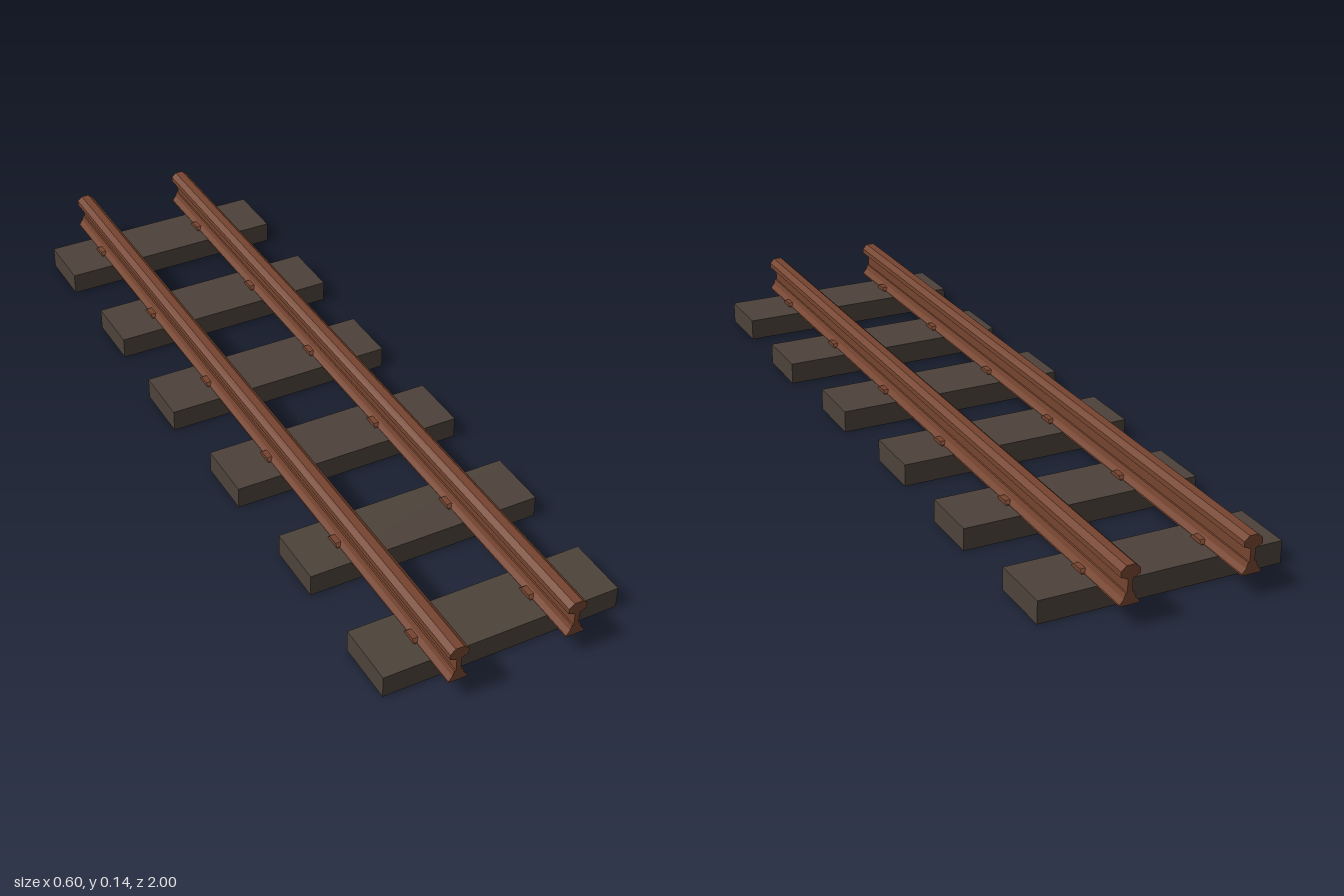
import * as THREE from 'three';

const wood = new THREE.MeshStandardMaterial({ color: 0x4c423a });
wood.name = 'dark weathered wood';
const rust = new THREE.MeshStandardMaterial({ color: 0x75442f });
rust.name = 'rusty steel';

const RAIL_X = [-0.156, 0.131];

// Extrude a mirrored half-profile (bottom to top) along z, centred
function extrudeSymmetric(half, depth) {
  const mirrored = half.map(([x, y]) => [-x, y]).reverse();
  const shape = new THREE.Shape([...half, ...mirrored].map(([x, y]) => new THREE.Vector2(x, y)));
  const geometry = new THREE.ExtrudeGeometry(shape, { depth, bevelEnabled: false });
  return geometry.translate(0, 0, -depth / 2);
}

export function createModel() {
  const model = new THREE.Group();
  model.name = 'railwayTrack';

  function add(name, geometry, material, x, y, z) {
    const mesh = new THREE.Mesh(geometry, material);
    mesh.name = name;
    mesh.position.set(x, y, z);
    model.add(mesh);
  }

  // Rails: flared foot, thin web, chamfered head
  const railGeometry = extrudeSymmetric([
    [0.023, 0.051], [0.023, 0.055], [0.014, 0.066], [0.010, 0.079], [0.006, 0.079],
    [0.006, 0.110], [0.0225, 0.117], [0.0225, 0.130], [0.010, 0.141],
  ], 2);
  RAIL_X.forEach((x, i) => add(i ? 'leftRail' : 'rightRail', railGeometry, rust, x, 0, 0));

  // Sleepers, two of them slightly shifted sideways: [x, z]
  const sleepers = [[0, -0.836], [0, -0.497], [-0.012, -0.158], [0, 0.177], [0.01, 0.516], [0, 0.853]];
  const sleeperGeometry = new THREE.BoxGeometry(0.582, 0.054, 0.153);

  // Rail clips: low plates with sloping ends, lying across the rail foot
  const clipGeometry = extrudeSymmetric([[0.021, 0.052], [0.021, 0.056], [0.014, 0.063]], 0.06);
  clipGeometry.rotateY(Math.PI / 2);

  for (const [x, z] of sleepers) {
    add('sleeper', sleeperGeometry, wood, x, 0.027, z);
    for (const railX of RAIL_X) add('railClip', clipGeometry, rust, railX, 0, z);
  }
  return model;
}
